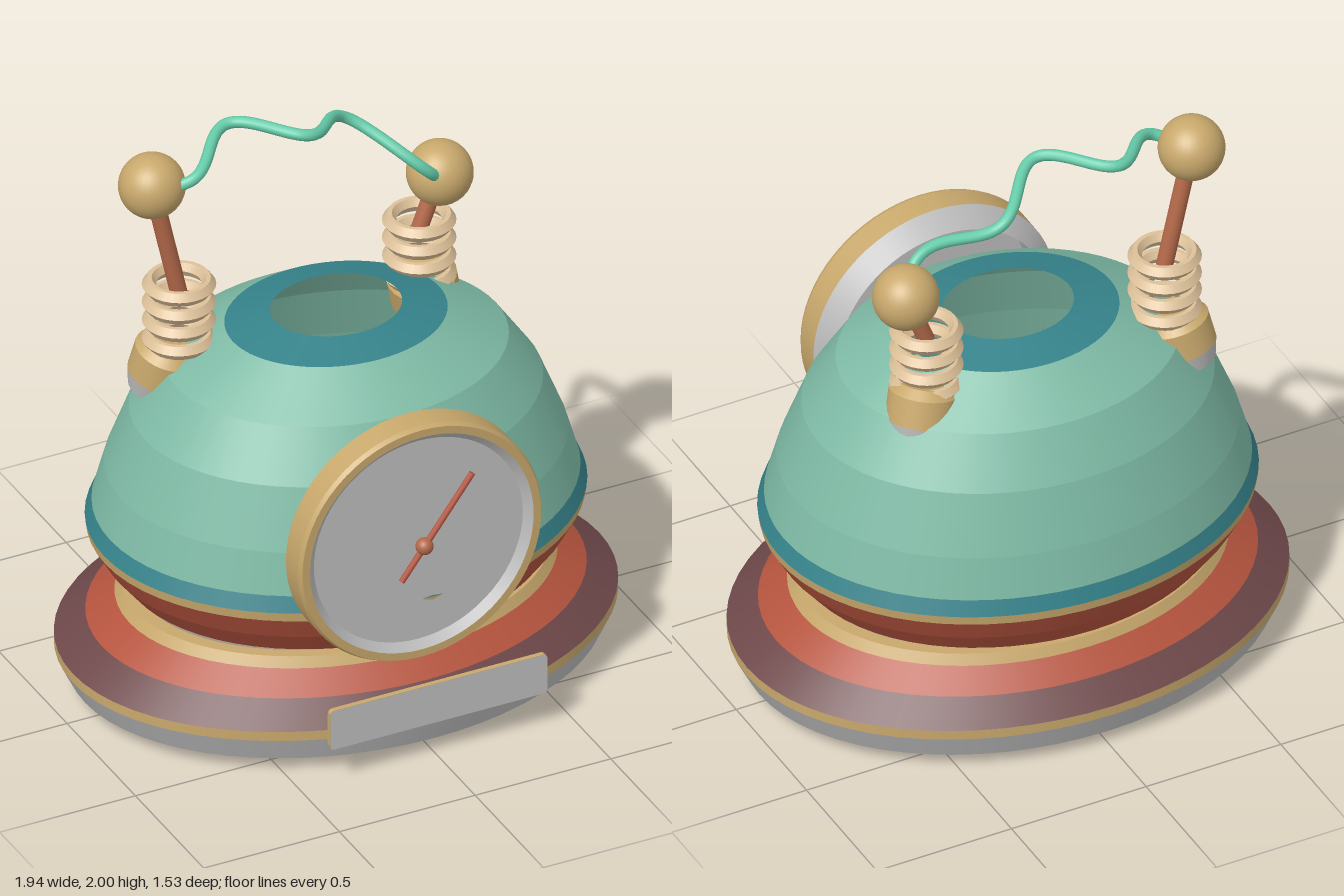
import * as THREE from 'three';
import { mergeGeometries } from 'three/addons/utils/BufferGeometryUtils.js';

const paint = (name, color) => {
  const m = new THREE.MeshStandardMaterial({ color, side: THREE.DoubleSide });
  m.name = name;
  return m;
};

// Lathe with a hard edge at every profile point and smooth sides around
function creasedLathe(points, segments = 64) {
  const parts = [];
  for (let i = 0; i < points.length - 1; i++) {
    const pair = [points[i], points[i + 1]].map(([r, y]) => new THREE.Vector2(r, y));
    parts.push(new THREE.LatheGeometry(pair, segments));
  }
  return mergeGeometries(parts);
}

function add(parent, name, geometry, material) {
  const mesh = new THREE.Mesh(geometry, material);
  mesh.name = name;
  parent.add(mesh);
  return mesh;
}

function subgroup(parent, name) {
  const g = new THREE.Group();
  g.name = name;
  parent.add(g);
  return g;
}

export function createModel() {
  const gray = paint('gray', 0xbebebe);
  const gold = paint('gold', 0xc8a86c);
  const teal = paint('dark teal', 0x35828a);
  const red = paint('brick red', 0xb5543e);
  const maroon = paint('maroon', 0x6e484a);
  const green = paint('sea green', 0x7ebaa5);
  const tan = paint('tan', 0xdcc099);
  const copper = paint('copper', 0xb4694a);
  const mint = paint('mint', 0x66ccaa);

  const model = new THREE.Group();
  model.name = 'dialMachine';

  // Oval, hollow shells built from coloured bands
  const shell = (name, depth, bands) => {
    const g = subgroup(model, name);
    for (const [part, material, points] of bands) {
      const geo = creasedLathe(points);
      geo.scale(1, 1, depth);
      geo.translate(0, 0, -0.018);
      add(g, part, geo, material);
    }
  };

  shell('base', 0.77, [
    ['baseFoot', gray, [[0.75, 0], [0.925, 0.05], [0.97, 0.14]]],
    ['baseTrim', gold, [[0.97, 0.14], [0.97, 0.175]]],
    ['baseLowerSlope', maroon, [[0.97, 0.175], [0.862, 0.25]]],
    ['baseUpperSlope', red, [[0.862, 0.25], [0.762, 0.315]]],
    ['baseLip', gold, [[0.762, 0.315], [0.738, 0.35], [0.69, 0.35]]],
  ]);

  shell('dome', 0.83, [
    ['domeBottomRim', gray, [[0.62, 0.345], [0.732, 0.395]]],
    ['domeSkirt', red, [[0.732, 0.395], [0.8, 0.48], [0.85, 0.567]]],
    ['domeTrim', gold, [[0.85, 0.567], [0.855, 0.6]]],
    ['domeStripe', teal, [[0.855, 0.6], [0.832, 0.655]]],
    ['domeBody', green, [[0.832, 0.655], [0.79, 0.8], [0.705, 1.01], [0.588, 1.18], [0.38, 1.3]]],
    ['domeTopRing', teal, [[0.38, 1.3], [0.225, 1.335]]],
  ]);

  // Round gauge on the front, turned so the lathe axis faces +z
  const gauge = subgroup(model, 'gauge');
  gauge.position.set(-0.053, 0.835, 0);
  const dialPart = (name, material, points) =>
    add(gauge, name, creasedLathe(points).rotateX(Math.PI / 2), material);
  dialPart('gaugeBack', gray, [[0.39, 0.545], [0.448, 0.61]]);
  dialPart('gaugeBezel', gold, [[0.448, 0.61], [0.448, 0.7], [0.44, 0.716], [0.412, 0.716]]);
  dialPart('gaugeInnerRim', gray, [[0.412, 0.716], [0.385, 0.69]]);
  add(gauge, 'gaugeFace', new THREE.CircleGeometry(0.386, 64), gray).position.z = 0.69;
  const needle = add(gauge, 'needle', new THREE.CylinderGeometry(0.011, 0.011, 0.436, 10), red);
  needle.position.set(0.046, 0.06, 0.735);
  needle.rotation.z = -0.64;
  add(gauge, 'needleHub', new THREE.SphereGeometry(0.03, 20, 14), copper).position.z = 0.735;

  // Front plate with rounded corners, gray face on a gold body
  const w = 0.4, h = 0.075, c = 0.018;
  const plate = new THREE.Shape();
  plate.moveTo(-w + c, -h).lineTo(w - c, -h).quadraticCurveTo(w, -h, w, -h + c);
  plate.lineTo(w, h - c).quadraticCurveTo(w, h, w - c, h);
  plate.lineTo(-w + c, h).quadraticCurveTo(-w, h, -w, h - c);
  plate.lineTo(-w, -h + c).quadraticCurveTo(-w, -h, -w + c, -h);
  add(model, 'plateBody', new THREE.ExtrudeGeometry(plate, { depth: 0.018, bevelEnabled: false }), gold)
    .position.set(0, 0.213, 0.716);
  add(model, 'plateFace', new THREE.ShapeGeometry(plate), gray).position.set(0, 0.213, 0.7355);

  // Antennas: tilted socket, ring stack, leaning rod and ball
  const ringGeo = creasedLathe([[0.075, 0], [0.09, -0.025], [0.105, -0.025], [0.123, 0],
    [0.105, 0.025], [0.09, 0.025], [0.075, 0]], 28);
  const up = new THREE.Vector3(0, 1, 0);
  const antenna = (name, x, ballPos, socketPos, lean) => {
    const g = subgroup(model, name);
    const socket = subgroup(g, 'socket');
    socket.position.set(...socketPos);
    socket.quaternion.setFromUnitVectors(up, new THREE.Vector3(...lean).normalize());
    add(socket, 'socketCup', creasedLathe([[0.118, -0.06], [0.118, 0.04], [0.09, 0.07], [0, 0.07]], 28), gold);
    add(socket, 'socketFoot', creasedLathe([[0.1, -0.12], [0.118, -0.06]], 28), gray);
    for (let i = 0; i < 4; i++) {
      add(g, 'ring', ringGeo, tan).position.set(x, 1.468 - i * 0.069, -0.18);
    }
    const foot = new THREE.Vector3(x, 1.43, -0.18);
    const top = new THREE.Vector3(...ballPos);
    const along = top.clone().sub(foot);
    const rod = add(g, 'rod', new THREE.CylinderGeometry(0.029, 0.029, along.length(), 16), copper);
    rod.position.copy(foot).add(top).multiplyScalar(0.5);
    rod.quaternion.setFromUnitVectors(up, along.normalize());
    add(g, 'ball', new THREE.SphereGeometry(0.112, 32, 24), gold).position.copy(top);
  };
  antenna('rightAntenna', -0.497, [-0.597, 1.878, -0.18], [-0.53, 1.17, -0.205], [0.2, 1, 0.2]);
  antenna('leftAntenna', 0.388, [0.464, 1.63, -0.18], [0.415, 1.2, -0.205], [-0.25, 1, 0.2]);

  // Wavy cable arching between the balls
  const path = [];
  for (let i = 0; i <= 32; i++) {
    const x = -0.52 + (0.93 * i) / 32;
    const d = x + 0.18;
    path.push(new THREE.Vector3(x, 1.98 - (d < 0 ? 0.68 : 0.89) * d * d,
      -0.185 + 0.088 * Math.cos((2 * Math.PI * (x + 0.49)) / 0.432)));
  }
  add(model, 'cable', new THREE.TubeGeometry(new THREE.CatmullRomCurve3(path), 96, 0.02, 12), mint);
  for (const end of [path[0], path[32]]) {
    add(model, 'cableEnd', new THREE.SphereGeometry(0.02, 12, 8), mint).position.copy(end);
  }

  return model;
}
